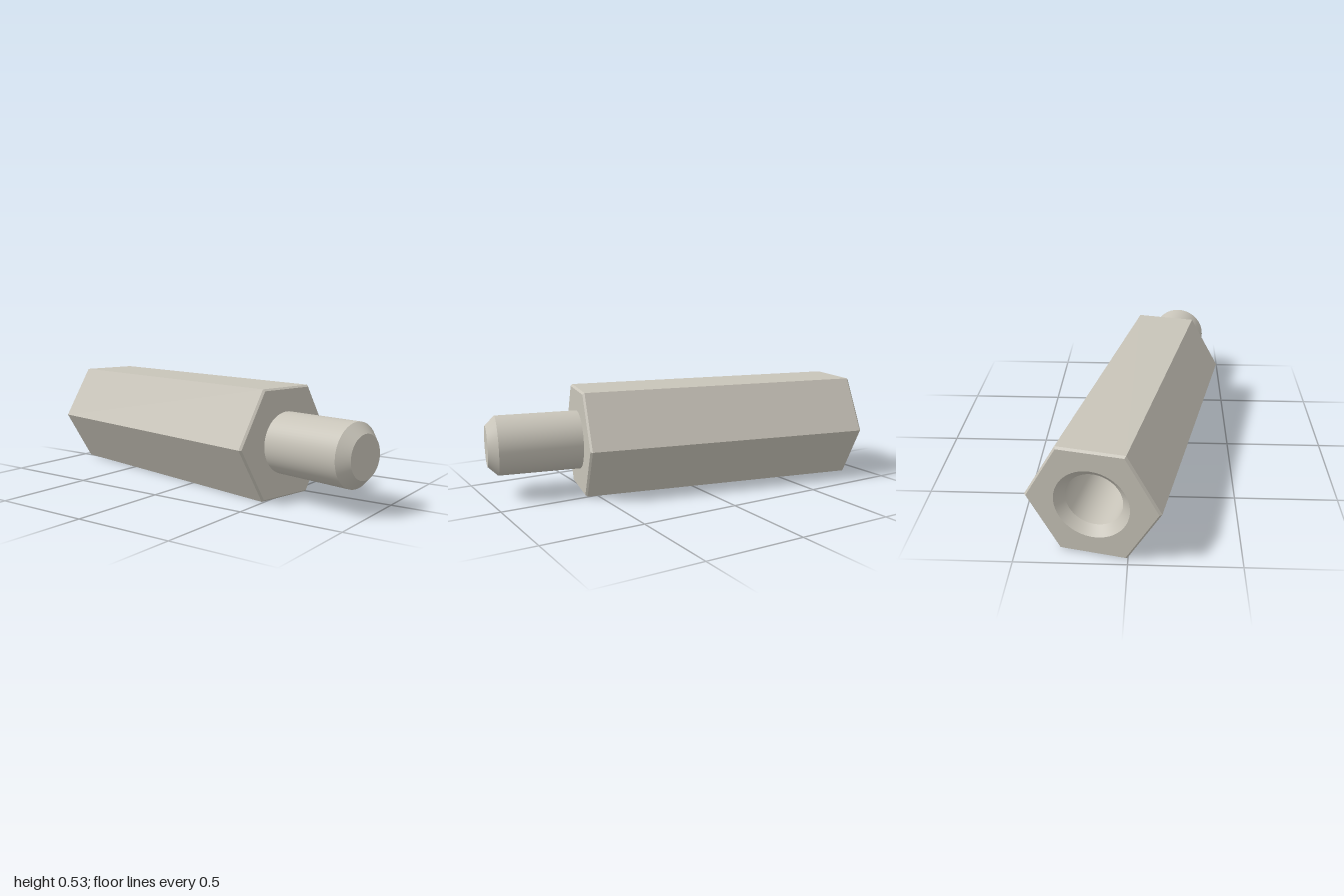
import * as THREE from 'three';
import { toCreasedNormals } from 'three/addons/utils/BufferGeometryUtils.js';

const HALF = 0.749;            // half length of the hex body
const FLAT = 0.265;            // centre to flat
const R = FLAT / Math.cos(Math.PI / 6); // centre to corner
const BEVEL = 0.01;
const BORE = 0.13, MOUTH = 0.17, STUD = 0.15;

// Revolve [radius, height] pairs, keeping sharp edges
function revolve(points, segments, crease) {
  const geo = new THREE.LatheGeometry(points.map(([r, y]) => new THREE.Vector2(r, y)), segments);
  return toCreasedNormals(geo, crease);
}

export function createModel() {
  const metal = new THREE.MeshStandardMaterial({ color: 0xc8c4b9 });
  metal.name = 'warm grey metal';

  const standoff = new THREE.Group();
  standoff.name = 'standoff';
  const add = (name, geo) => {
    const mesh = new THREE.Mesh(geo, metal);
    mesh.name = name;
    standoff.add(mesh);
  };

  // Six-sided body with a fine bevel at both ends, closed at the stud end
  add('hexBody', revolve([
    [R - BEVEL, -HALF], [R, -HALF + BEVEL], [R, HALF - BEVEL], [R - BEVEL, HALF], [0, HALF],
  ], 6, 0.1));

  // Socket end face: hexagon with a round opening
  const face = new THREE.Shape();
  for (let i = 0; i < 6; i++) {
    const a = Math.PI / 2 + i * Math.PI / 3;
    const x = (R - BEVEL) * Math.cos(a), y = (R - BEVEL) * Math.sin(a);
    if (i === 0) face.moveTo(x, y); else face.lineTo(x, y);
  }
  face.closePath();
  face.holes.push(new THREE.Path().absarc(0, 0, MOUTH, 0, Math.PI * 2, true));
  const faceGeo = new THREE.ShapeGeometry(face, 32);
  faceGeo.rotateX(Math.PI / 2).translate(0, -HALF, 0);
  add('socketFace', faceGeo);

  // Countersunk blind bore
  add('socketBore', revolve([
    [0, 0.1], [BORE, 0.1], [BORE, -HALF + MOUTH - BORE], [MOUTH, -HALF],
  ], 64, 0.5));

  // Chamfered stud
  const tip = HALF + 0.46;
  add('stud', revolve([
    [STUD, HALF], [STUD, tip - 0.048], [STUD - 0.047, tip], [0, tip],
  ], 64, 0.5));

  // Lay the axis along x, then turn it toward the front
  standoff.rotation.z = -Math.PI / 2;
  const model = new THREE.Group();
  model.name = 'hexStandoff';
  model.add(standoff);
  model.rotation.y = -THREE.MathUtils.degToRad(12);
  model.position.set(-0.203, FLAT, 0);

  const root = new THREE.Group();
  root.name = 'model';
  root.add(model);
  return root;
}
